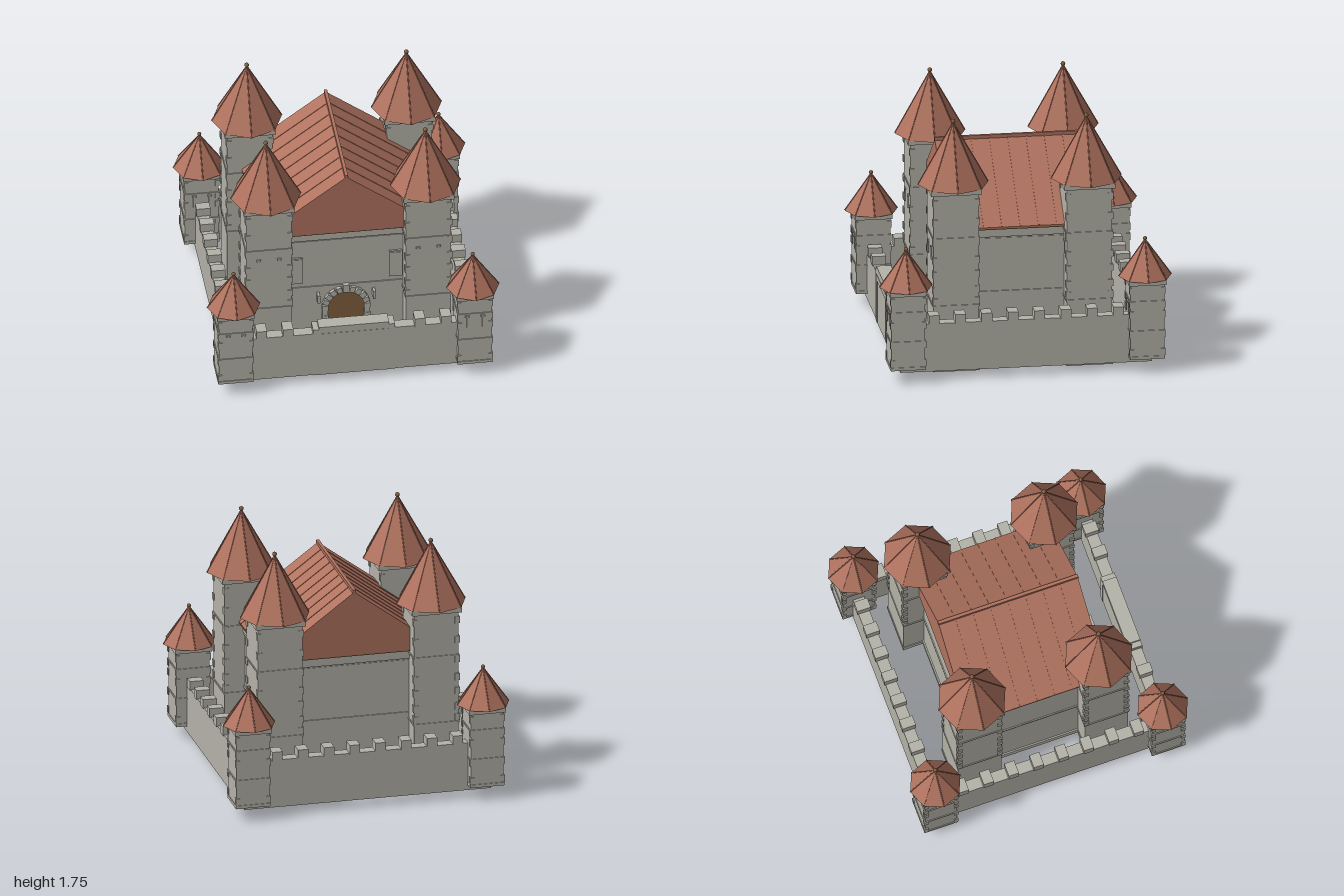
import * as THREE from 'three';

const mat = (name, color) => {
  const m = new THREE.MeshStandardMaterial({ color });
  m.name = name;
  return m;
};

export function createModel() {
  const root = new THREE.Group();
  root.name = 'castle';
  const stone = mat('stone', 0xb5b3a9);
  const tile = mat('roofTile', 0xb0735f);
  const wood = mat('wood', 0x80603f);

  const add = (parent, name, geo, material, x = 0, y = 0, z = 0) => {
    const m = new THREE.Mesh(geo, material);
    m.name = name;
    m.position.set(x, y, z);
    parent.add(m);
    return m;
  };
  // box given by its centre in plan and its lower and upper height
  const box = (parent, name, w, d, y0, y1, x = 0, z = 0, material = stone) =>
    add(parent, name, new THREE.BoxGeometry(w, y1 - y0, d), material, x, (y0 + y1) / 2, z);
  const group = (name, x = 0, z = 0) => {
    const g = new THREE.Group();
    g.name = name;
    g.position.set(x, 0, z);
    root.add(g);
    return g;
  };

  // Eight-sided spire with raised hips and a wooden ball on top
  function spire(g, r, y0, y1, ball) {
    const cone = new THREE.ConeGeometry(r, y1 - y0, 8).toNonIndexed();
    cone.computeVertexNormals();
    add(g, 'spireRoof', cone, tile, 0, (y0 + y1) / 2, 0);
    const top = new THREE.Vector3(0, y1, 0);
    for (let i = 0; i < 8; i++) {
      const a = (i * Math.PI) / 4;
      const foot = new THREE.Vector3(Math.sin(a) * r, y0 + 0.003, Math.cos(a) * r);
      const hip = new THREE.TubeGeometry(new THREE.LineCurve3(foot, top), 1, 0.004, 4);
      add(g, 'spireHip', hip, tile);
    }
    add(g, 'finial', new THREE.SphereGeometry(ball, 10, 8), wood, 0, y1 + ball * 0.4, 0);
  }

  // Square tower with string courses, corner stones, cap slab and spire
  function tower(name, x, z, o) {
    const g = group(name, x, z);
    const h = o.half;
    box(g, 'towerShaft', h * 2, h * 2, o.y0, o.y1);
    box(g, 'towerPlinth', h * 2 + 0.01, h * 2 + 0.01, o.y0, o.y0 + o.plinth);
    box(g, 'towerCap', o.cap * 2, o.cap * 2, o.y1, o.y1 + 0.033);
    for (const y of o.bands) box(g, 'stringCourse', h * 2 + 0.012, h * 2 + 0.012, y - 0.006, y + 0.006);
    for (const y of o.quoins)
      for (const sx of [-1, 1])
        for (const sz of [-1, 1])
          box(g, 'cornerStone', o.stone, o.stone, y - 0.024, y + 0.024,
            sx * (h + 0.007 - o.stone / 2), sz * (h + 0.007 - o.stone / 2));
    for (const s of [-1, 1]) {
      box(g, 'arrowSlitBar', 0.03, 0.012, o.slit - 0.007, o.slit + 0.007, s * o.slitX, h + 0.004);
      box(g, 'arrowSlit', 0.01, 0.008, o.slit - 0.09, o.slit, s * o.slitX, h + 0.003);
    }
    spire(g, o.spire, o.y1 + 0.033, o.tip, o.ball);
  }

  const big = {
    half: 0.155, y0: 0, y1: 1.257, plinth: 0.045, cap: 0.174, bands: [0.465, 0.945],
    quoins: [0.5, 0.58, 0.69, 0.79, 0.92, 1.06, 1.2], stone: 0.036, slit: 0.868, slitX: 0.07,
    spire: 0.24, tip: 1.725, ball: 0.016,
  };
  const small = {
    half: 0.115, y0: 0.1, y1: 0.628, plinth: 0.022, cap: 0.127, bands: [0.3, 0.51],
    quoins: [0.15, 0.28, 0.42, 0.49, 0.59], stone: 0.03, slit: 0.493, slitX: 0.053,
    spire: 0.18, tip: 0.92, ball: 0.014,
  };
  for (const sx of [-1, 1])
    for (const sz of [-1, 1]) {
      tower('keepTower', sx * 0.545, sz * 0.455, big);
      tower('wallTower', sx * 0.817, sz * 0.817, small);
    }

  // Keep
  const keep = group('keep');
  box(keep, 'keepBody', 1.12, 0.93, 0, 0.96);
  box(keep, 'keepPlinth', 1.14, 0.95, 0, 0.05);
  box(keep, 'keepString', 1.135, 0.945, 0.497, 0.513);
  box(keep, 'keepString', 1.13, 0.94, 0.876, 0.89);
  box(keep, 'keepCornice', 1.145, 0.955, 0.9, 0.96);
  for (const s of [-1, 1]) {
    box(keep, 'window', 0.09, 0.03, 0.55, 0.76, s * 0.34, 0.463);
    box(keep, 'windowPanel', 0.07, 0.006, 0.56, 0.75, s * 0.34, 0.479);
  }

  // Main roof: gabled prism, soffit, ridge and seams
  const gable = new THREE.Shape();
  gable.moveTo(-0.6, 0.968);
  gable.lineTo(0.6, 0.968);
  gable.lineTo(0.6, 0.978);
  gable.lineTo(0, 1.422);
  gable.lineTo(-0.6, 0.978);
  gable.closePath();
  const prism = new THREE.ExtrudeGeometry(gable, { depth: 1, bevelEnabled: false });
  add(keep, 'mainRoof', prism, tile, 0, 0, -0.5);
  box(keep, 'roofSoffit', 1.195, 0.995, 0.96, 0.968, 0, 0, wood);
  box(keep, 'roofRidge', 0.022, 1.005, 1.405, 1.438, 0, 0, tile);
  const slope = Math.atan2(0.444, 0.6);
  for (const s of [-1, 1])
    for (let i = -3; i <= 3; i++) {
      const seam = box(keep, 'roofSeam', 0.742, 0.01, 1.196, 1.204, s * 0.3, i * 0.125, tile);
      seam.rotation.z = -s * slope;
    }

  // Arched door with stone surround, landing and wall brackets
  const door = group('doorway', 0, 0.465);
  const arch = new THREE.Shape();
  arch.moveTo(-0.125, 0.05);
  arch.lineTo(0.125, 0.05);
  arch.lineTo(0.125, 0.335);
  arch.absarc(0, 0.335, 0.125, 0, Math.PI, false);
  arch.closePath();
  add(door, 'door', new THREE.ExtrudeGeometry(arch, { depth: 0.009, bevelEnabled: false, curveSegments: 16 }), wood);
  for (let i = 0; i < 11; i++) {
    const a = (i / 10) * Math.PI;
    const key = i === 5;
    const block = add(door, key ? 'keystone' : 'archStone',
      new THREE.BoxGeometry(key ? 0.06 : 0.042, key ? 0.04 : 0.036, key ? 0.044 : 0.036), stone,
      Math.cos(a) * (key ? 0.152 : 0.143), 0.335 + Math.sin(a) * (key ? 0.152 : 0.143), 0.008);
    block.rotation.z = a;
  }
  for (const s of [-1, 1]) {
    for (let i = 0; i < 6; i++)
      box(door, 'jambStone', i % 2 ? 0.036 : 0.044, 0.04, 0.05 + i * 0.045, 0.093 + i * 0.045, s * 0.143, 0.005);
    box(door, 'wallBracket', 0.018, 0.05, 0.4, 0.46, s * 0.19, 0.025);
  }
  box(door, 'landing', 0.36, 0.2, 0, 0.05, 0, 0.095);

  // Curtain walls with battlements
  const walls = group('curtainWall');
  const c = 0.82;
  for (const s of [-1, 1]) {
    box(walls, 'wallFrontBack', 1.72, 0.08, 0.06, 0.4, 0, s * c);
    box(walls, 'wallSide', 0.08, 1.56, 0.06, 0.4, s * c, 0);
    for (let i = 0; i < 8; i++) {
      const p = -0.63 + i * 0.18;
      box(walls, 'merlon', 0.096, 0.072, 0.395, 0.46, s * c, p);
      if (s < 0 || Math.abs(p) > 0.3) box(walls, 'merlon', 0.072, 0.096, 0.395, 0.46, p, s * c);
    }
  }

  // Gatehouse: raised parapet, pilasters and a blind gate
  const gate = group('gatehouse', 0, 0.815);
  box(gate, 'gateBlock', 0.56, 0.095, 0.06, 0.425);
  box(gate, 'gateParapet', 0.48, 0.1, 0.4, 0.453);
  for (const s of [-1, 1]) box(gate, 'gatePilaster', 0.045, 0.1, 0.06, 0.435, s * 0.257, 0);
  for (const s of [-1, 1]) box(gate, 'gateFrameSide', 0.042, 0.012, 0.06, 0.4, s * 0.214, 0.046);
  box(gate, 'gateFrameTop', 0.47, 0.012, 0.36, 0.4, 0, 0.046);
  box(gate, 'gatePanel', 0.386, 0.004, 0.06, 0.36, 0, 0.048);

  return root;
}
